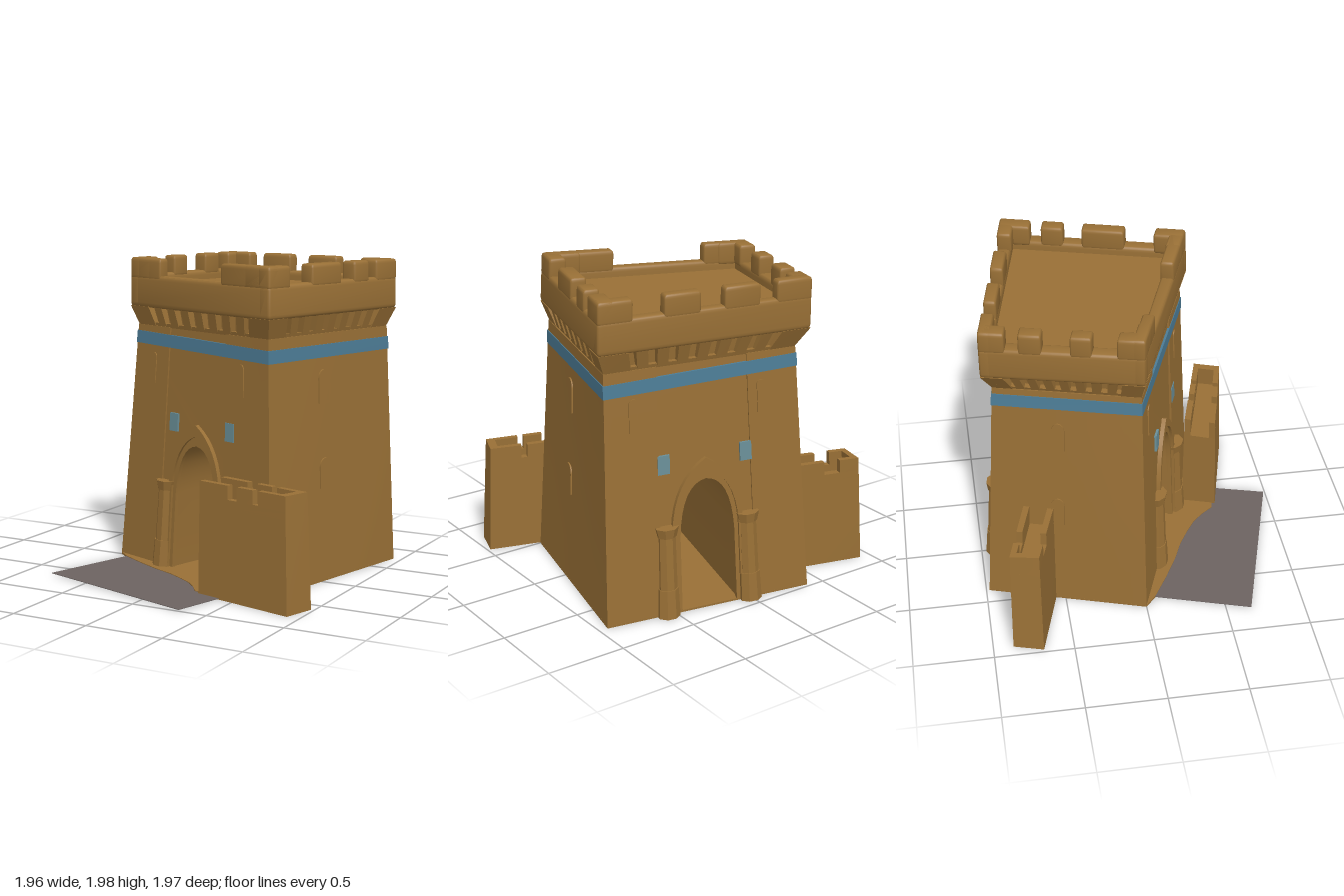
import * as THREE from 'three';
import { toCreasedNormals } from 'three/addons/utils/BufferGeometryUtils.js';
import { RoundedBoxGeometry } from 'three/addons/geometries/RoundedBoxGeometry.js';

const material = (name, color) => {
  const m = new THREE.MeshStandardMaterial({ color });
  m.name = name;
  return m;
};

// Corner plans per height: [y, back left x, z, back right x, z, front right x, z, front left x, z]
const TOWER = [
  [0, -0.39, -0.98, 0.945, -0.75, 0.66, 0.5, -0.7, 0.0],
  [1.55, -0.32, -0.88, 0.9, -0.67, 0.6, 0.42, -0.56, -0.015],
  [1.67, -0.38, -0.95, 0.955, -0.7, 0.63, 0.47, -0.62, -0.005],
  [1.98, -0.38, -0.95, 0.95, -0.7, 0.62, 0.455, -0.615, -0.005],
];
const FRONT_WING = [
  [0, 0.31, 0.41, 0.98, 0.6, 0.92, 0.8, 0.24, 0.63],
  [0.7, 0.32, 0.42, 0.95, 0.6, 0.89, 0.77, 0.24, 0.61],
];
const BACK_WING = [
  [0, -0.925, -0.875, -0.38, -0.735, -0.45, -0.54, -0.98, -0.69],
  [0.7, -0.88, -0.865, -0.4, -0.73, -0.46, -0.55, -0.915, -0.69],
];

// Maps a geometry built in a -1..1 square plan onto the skewed, tapering plan
function warp(geometry, plan) {
  const pos = geometry.attributes.position;
  for (let i = 0; i < pos.count; i++) {
    const p = pos.getX(i), y = pos.getY(i), q = pos.getZ(i);
    let k = 0;
    while (k < plan.length - 2 && y > plan[k + 1][0]) k++;
    const a = plan[k], b = plan[k + 1], t = (y - a[0]) / (b[0] - a[0]);
    const w = [(1 - p) * (1 - q), (1 + p) * (1 - q), (1 + p) * (1 + q), (1 - p) * (1 + q)];
    let x = 0, z = 0;
    for (let c = 0; c < 4; c++) {
      x += w[c] / 4 * (a[1 + 2 * c] * (1 - t) + b[1 + 2 * c] * t);
      z += w[c] / 4 * (a[2 + 2 * c] * (1 - t) + b[2 + 2 * c] * t);
    }
    pos.setXYZ(i, x, y, z);
  }
  return toCreasedNormals(geometry, 0.6);
}

// Box between two corners; round softens the edges, steps divide it for bending
function box(x0, x1, y0, y1, z0, z1, round = 0, steps = 1) {
  const s = [x1 - x0, y1 - y0, z1 - z0];
  const g = round ? new RoundedBoxGeometry(...s, 2, round) : new THREE.BoxGeometry(...s, steps, steps, steps);
  return g.translate((x0 + x1) / 2, (y0 + y1) / 2, (z0 + z1) / 2);
}

// Pointed arch outline, from the left foot over the apex to the right foot
function archPoints(h, spring, apex, fullness = 0.72, y0 = 0) {
  const left = new THREE.QuadraticBezierCurve(
    new THREE.Vector2(-h, spring),
    new THREE.Vector2(-h * 0.93, spring + (apex - spring) * fullness),
    new THREE.Vector2(0, apex)).getPoints(8);
  const right = left.slice(0, -1).reverse().map(v => new THREE.Vector2(-v.x, v.y));
  return [new THREE.Vector2(-h, y0), ...left, ...right, new THREE.Vector2(h, y0)];
}

function extrude(shape, z0, z1, steps = 1) {
  return new THREE.ExtrudeGeometry(shape, { depth: z1 - z0, steps, bevelEnabled: false }).translate(0, 0, z0);
}

// Flat slab from plan points [x, z]
function slab(points, y0, y1) {
  const shape = new THREE.Shape(points.map(([x, z]) => new THREE.Vector2(x, -z)));
  return extrude(shape, y0, y1).rotateX(-Math.PI / 2);
}

export function createModel() {
  const stone = material('stone', 0x997036);
  const blue = material('blueBand', 0x4d7d97);
  const paleBlue = material('paleBlue', 0x6a8f98);
  const ground = material('ground', 0x6c6361);
  const model = new THREE.Group();

  const addTo = (parent, name, geometry, mat = stone) => {
    const mesh = new THREE.Mesh(geometry, mat);
    mesh.name = name;
    parent.add(mesh);
  };
  const part = (name, geometry, mat) => addTo(model, name, warp(geometry, TOWER), mat);
  // side: 0 front, 1 right, 2 back, 3 left
  const onSide = (side, name, geometry, mat) => part(name, geometry.rotateY(side * Math.PI / 2), mat);

  // Ground sheet and curved floor
  addTo(model, 'groundSheet', slab([[-0.62, 0.06], [-0.81, 0.66], [0.31, 0.99], [0.45, 0.5]], 0.004, 0.008), ground);
  addTo(model, 'floor', slab([[-0.7, 0.0], [-0.39, -0.98], [0.945, -0.75], [0.66, 0.5], [0.3, 0.62], [0.2, 0.6],
    [0.14, 0.52], [0.07, 0.45], [-0.02, 0.39], [-0.14, 0.32], [-0.28, 0.26], [-0.45, 0.17], [-0.62, 0.07]], 0, 0.012));

  // Tower body with a passage running through it; its flanks are divided by height
  const flank = [0, 1, 2, 3, 4, 5, 6].map(i => 0.005 + i * 1.545 / 6);
  const body = new THREE.Shape([
    ...archPoints(0.285, 0.5, 0.84, 0.9, 0.005),
    ...flank.map(y => new THREE.Vector2(1, y)),
    ...flank.reverse().map(y => new THREE.Vector2(-1, y))]);
  part('towerBody', extrude(body, -0.98, 0.98, 6));
  part('upperCore', box(-0.91, 0.91, 1.5, 1.81, -0.91, 0.91));
  part('blueBand', box(-1.008, 1.008, -0.04, 0.04, -1.008, 1.008).rotateZ(-0.014).translate(0, 1.456, 0), blue);

  // Corner piers either side of the gateway panels
  for (const [side, left, right] of [[0, -0.48, 0.38], [2, -0.47, 0.47]]) {
    onSide(side, 'cornerPier', box(-1, left, 0, 1.55, 0.97, 1, 0, 6));
    onSide(side, 'cornerPier', box(right, 1, 0, 1.55, 0.97, 1, 0, 6));
  }

  // Gateways on the front and back
  for (const side of [0, 2]) {
    const ring = (outer, inner) => new THREE.Shape([...outer, ...inner.reverse()]);
    onSide(side, 'archMoulding', extrude(ring(archPoints(0.36, 0.54, 0.96), archPoints(0.31, 0.53, 0.89, 0.8)), 0.96, 1.03));
    onSide(side, 'innerArch', extrude(ring(archPoints(0.32, 0.53, 0.9, 0.8), archPoints(0.272, 0.48, 0.825, 0.95)), 0.95, 1.0));
    for (const s of [-1, 1]) {
      const column = (name, r0, r1, y0, y1) => onSide(side, name,
        new THREE.CylinderGeometry(r1, r0, y1 - y0, 8).rotateY(Math.PI / 8).translate(s * 0.41, (y0 + y1) / 2, 1.0));
      column('columnBase', 0.11, 0.1, 0, 0.18);
      column('columnShaft', 0.09, 0.085, 0.18, 0.53);
      column('columnCapital', 0.095, 0.12, 0.51, 0.57);
    }
  }
  // Pale panels above the columns
  for (const [side, x] of [[0, -0.345], [0, 0.465], [2, -0.42], [2, 0.42]]) {
    onSide(side, 'bluePanel', box(x - 0.06, x + 0.06, 0.895, 1.01, 0.97, 1.008), paleBlue);
  }

  // Window surrounds: slits beside the gates, two round-headed windows on each flank
  function windowFrame(side, x, y0, y1, h) {
    const outline = (w, pad) => {
      const pts = [new THREE.Vector2(x - w, y0 - pad)];
      for (let i = 0; i <= 8; i++) {
        const a = Math.PI * (1 - i / 8);
        pts.push(new THREE.Vector2(x + w * Math.cos(a), y1 + pad - w * 0.6 + w * 0.6 * Math.sin(a)));
      }
      return [...pts, new THREE.Vector2(x + w, y0 - pad)];
    };
    const shape = new THREE.Shape(outline(h, 0));
    shape.holes.push(new THREE.Path(outline(h * 0.72, -0.012)));
    onSide(side, 'windowFrame', extrude(shape, 0.98, 1.014));
  }
  for (const side of [0, 2]) for (const x of [-0.71, 0.61]) windowFrame(side, x, 1.18, 1.38, 0.045);
  for (const side of [1, 3]) {
    windowFrame(side, -0.12, 1.12, 1.33, 0.09);
    windowFrame(side, -0.12, 0.59, 0.78, 0.09);
  }

  // Corbels, parapet walls and merlons around the top
  const merlons = [
    [[-1, -0.54], [0.34, 1]],
    [[-0.36, 0.1], [0.3, 0.54]],
    [[-0.4, -0.06], [0.16, 0.5]],
    [[-0.52, -0.24], [0.1, 0.36]],
  ];
  for (let side = 0; side < 4; side++) {
    onSide(side, 'flare', box(-0.98, 0.98, 1.545, 1.57, 0.88, 0.985));
    for (let i = 0; i < 7; i++) {
      const x = (i - 3) * 0.2;
      onSide(side, 'corbel', box(x - 0.055, x + 0.055, 1.56, 1.7, 0.88, 0.995));
    }
    onSide(side, 'cornerFlare', box(0.72, 0.995, 1.55, 1.67, 0.88, 0.995));
    onSide(side, 'cornerFlare', box(-0.995, -0.72, 1.55, 1.67, 0.88, 0.995));
    onSide(side, 'parapetWall', box(-1, 1, 1.665, 1.87, 0.85, 1, 0.03));
    for (const [x0, x1] of merlons[side]) onSide(side, 'merlon', box(x0, x1, 1.84, 1.98, 0.85, 1, 0.025));
    onSide(side, 'cornerMerlon', box(0.66, 1, 1.84, 1.98, 0.84, 1, 0.025));
    onSide(side, 'cornerMerlon', box(0.84, 1, 1.84, 1.98, 0.68, 1, 0.025));
  }

  // Low wing walls with a sunken walk and their own merlons
  const wings = [
    ['frontWing', FRONT_WING, [0.84, 1], [[-1, -0.33], [-0.11, 0.26], [0.38, 1]]],
    ['backWing', BACK_WING, [-1, -0.84], [[-1, -0.48], [-0.06, 1]]],
  ];
  for (const [name, plan, end, blocks] of wings) {
    const wing = new THREE.Group();
    wing.name = name;
    model.add(wing);
    const piece = (label, g) => addTo(wing, label, warp(g, plan));
    piece('wingWall', box(-1, 1, 0, 0.57, -1, 1));
    for (const [z0, z1] of [[0.6, 1], [-1, -0.6]]) {
      piece('wingParapet', box(-1, 1, 0.56, 0.615, z0, z1));
      for (const [a, b] of blocks) piece('wingMerlon', box(a, b, 0.61, 0.7, z0, z1));
    }
    piece('wingEnd', box(...end, 0.56, 0.7, -0.6, 0.6));
  }
  return model;
}
